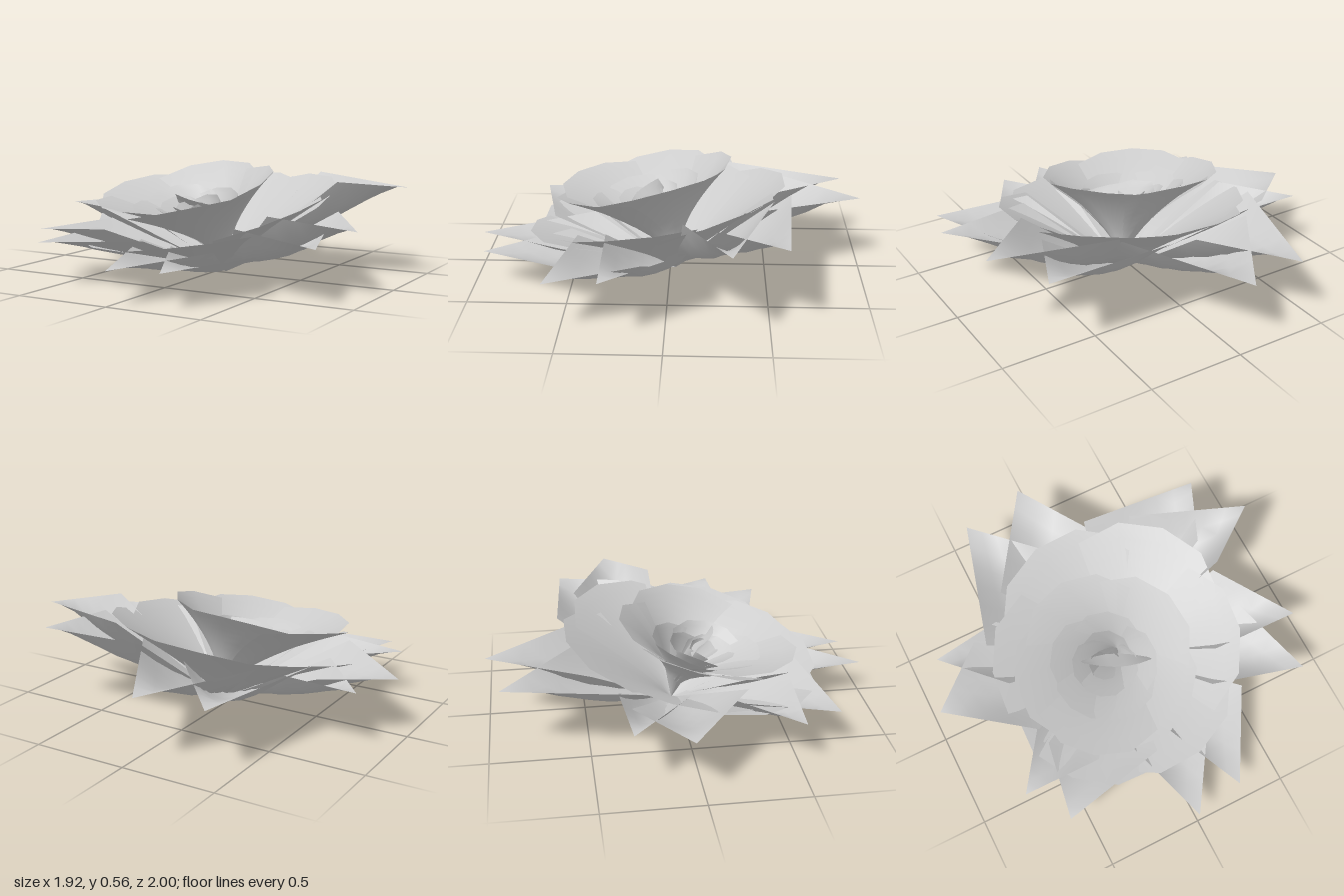
import * as THREE from 'three';

const BASE = new THREE.Vector3(0.05, 0, -0.03);

// Grid surface from a rule (s, t in 0..1 -> Vector3)
function sheet(rule, nS, nT) {
  const pos = [], idx = [];
  for (let j = 0; j <= nT; j++) {
    for (let i = 0; i <= nS; i++) pos.push(...rule(i / nS, j / nT).toArray());
  }
  for (let j = 0; j < nT; j++) {
    for (let i = 0; i < nS; i++) {
      const a = j * (nS + 1) + i, b = a + nS + 1;
      idx.push(a, b, a + 1, b, b + 1, a + 1);
    }
  }
  const g = new THREE.BufferGeometry();
  g.setAttribute('position', new THREE.Float32BufferAttribute(pos, 3));
  g.setIndex(idx);
  g.computeVertexNormals();
  return g;
}

// Pointed leaf: a four-cornered trough with a straight keel and raised sides
function leafGeometry(tip, y, left, right) {
  const reach = ([x, z]) => Math.hypot(x - BASE.x, z - BASE.z);
  const rTip = reach(tip);
  const corner = (c) => new THREE.Vector3(c[0], y + 0.1 * (rTip - reach(c)), c[1]);
  const T = new THREE.Vector3(tip[0], y, tip[1]), L = corner(left), R = corner(right);
  const middle = (reach(left) + reach(right) + rTip) / 4;
  const sag = 16 * ((L.y + R.y + y) / 4 - y * middle / rTip);
  return sheet((s, t) => {
    const p = new THREE.Vector3()
      .addScaledVector(BASE, (1 - s) * (1 - t))
      .addScaledVector(L, s * (1 - t))
      .addScaledVector(R, (1 - s) * t)
      .addScaledVector(T, s * t);
    p.y -= sag * s * t * (1 - s) * (1 - t);
    return p;
  }, 6, 6);
}

// Cupped petal: fans out from the base to a faceted rim on a tilted ring
function cupGeometry(ring, angle, radius, lift) {
  const half = Math.PI / ring.count * ring.overlap;
  return sheet((s, t) => {
    const k = s * 2 - 1, a = angle + k * half;
    const r = radius * (1 - 0.1 * Math.abs(k) ** 3);
    const x = ring.x + Math.cos(a) * r, z = ring.z + Math.sin(a) * r;
    const y = ring.h + lift + ring.gx * x + ring.gz * z - 0.04 * k * k;
    return new THREE.Vector3(
      BASE.x + (x - BASE.x) * t,
      y * Math.pow(t, ring.power),
      BASE.z + (z - BASE.z) * t);
  }, 4, 9);
}

export function createModel() {
  const group = new THREE.Group();
  group.name = 'flower';
  const petalGrey = new THREE.MeshStandardMaterial({ color: 0xcccccc, side: THREE.DoubleSide });
  petalGrey.name = 'petalGrey';
  const add = (geometry, name) => {
    const m = new THREE.Mesh(geometry, petalGrey);
    m.name = name;
    group.add(m);
  };

  let seed = 7;
  const rand = () => {
    seed = (seed * 16807) % 2147483647;
    return seed / 2147483647 - 0.5;
  };

  // Outer pointed leaves: tip [x, z], tip height, side corners [x, z]
  const leaves = [
    [[-0.07, -1.0], 0.36, [-0.41, -0.48], [0.30, -0.38]],
    [[-0.41, -0.93], 0.345, [-0.60, -0.25], [-0.05, -0.55]],
    [[0.78, -0.58], 0.43, [0.15, -0.62], [0.64, -0.25]],
    [[0.96, -0.31], 0.47, [0.37, -0.52], [0.66, -0.08]],
    [[0.93, 0.30], 0.32, [0.66, -0.10], [0.46, 0.30]],
    [[0.84, 0.57], 0.27, [0.70, 0.12], [0.36, 0.45]],
    [[0.26, 0.95], 0.17, [0.05, 0.52], [0.52, 0.50]],
    [[0.0, 1.0], 0.165, [-0.19, 0.42], [0.30, 0.54]],
    [[-0.60, 0.73], 0.21, [-0.53, 0.33], [-0.05, 0.62]],
    [[-0.75, 0.52], 0.24, [-0.52, 0.20], [-0.34, 0.53]],
    [[-0.96, -0.05], 0.31, [-0.65, -0.31], [-0.55, 0.27]],
    [[-0.86, -0.32], 0.31, [-0.50, -0.36], [-0.58, -0.02]],
  ];
  leaves.forEach(([tip, y, l, r]) => add(leafGeometry(tip, y, l, r), 'outerLeaf'));

  // Nested rings of cupped petals, tilted up at the back
  const rings = [
    { name: 'largePetal', x: 0, z: 0.08, r: 0.67, h: 0.37, gx: 0.1, gz: -0.19, count: 6, overlap: 1.35, power: 0.85, start: 0.3 },
    { name: 'middlePetal', x: -0.11, z: 0.15, r: 0.46, h: 0.51, gx: 0.07, gz: -0.2, count: 5, overlap: 1.3, power: 0.5, start: 0.9 },
    { name: 'innerPetal', x: -0.1, z: 0.13, r: 0.28, h: 0.42, gx: 0.04, gz: -0.2, count: 5, overlap: 1.3, power: 0.55, start: 0.2 },
    { name: 'smallPetal', x: -0.1, z: 0.12, r: 0.17, h: 0.40, gx: 0, gz: -0.2, count: 4, overlap: 1.25, power: 0.55, start: 0.6 },
    { name: 'heartPetal', x: -0.1, z: 0.12, r: 0.08, h: 0.38, gx: 0, gz: -0.1, count: 3, overlap: 1.2, power: 0.6, start: 0 },
  ];
  for (const ring of rings) {
    for (let i = 0; i < ring.count; i++) {
      const angle = ring.start + i / ring.count * Math.PI * 2;
      const radius = ring.r * (1 + 0.08 * rand());
      add(cupGeometry(ring, angle, radius, 0.03 * rand()), ring.name);
    }
  }

  // Folded sheet in the heart of the bloom
  add(sheet((s, t) => new THREE.Vector3(
    -0.2 + 0.33 * s, 0.36 + 0.05 * t - 0.03 * s,
    0.06 + 0.13 * s + (t - 0.5) * 0.1 * Math.sin(Math.PI * (0.1 + 0.8 * s))), 5, 2), 'heartFold');

  return group;
}
